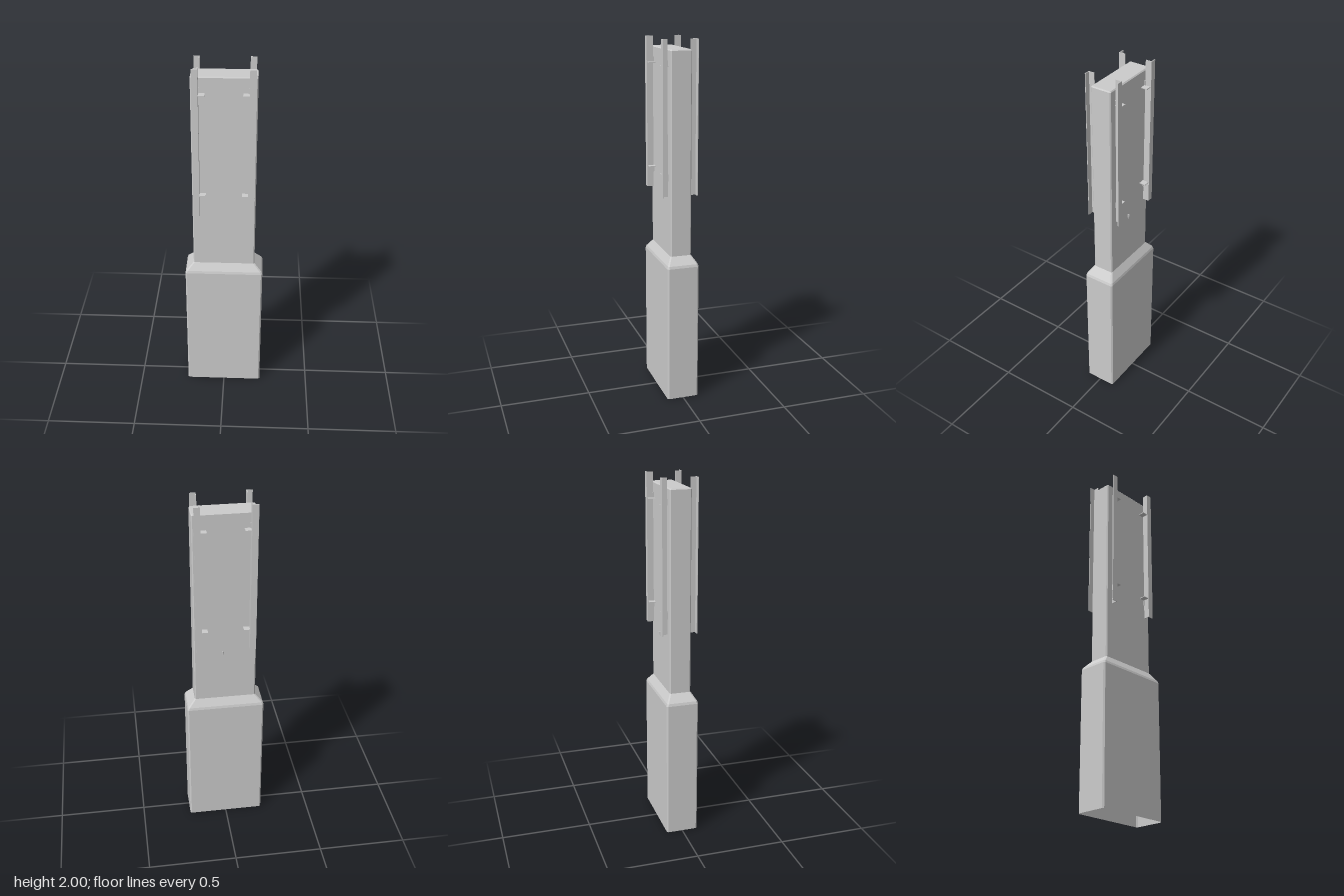
import * as THREE from 'three';

const mat = new THREE.MeshStandardMaterial({ color: 0xcccccc, flatShading: true, side: THREE.DoubleSide });

// Chamfered rectangle cross-section, counter-clockwise seen from +z towards +x
function ring([y, hx, hz, c]) {
  return [
    [hx, hz - c], [hx, c - hz], [hx - c, -hz], [c - hx, -hz],
    [-hx, c - hz], [-hx, hz - c], [c - hx, hz], [hx - c, hz],
  ].map(([x, z]) => [x, y, z]);
}

// Skin through the sections, open at the bottom and capped at the top
function loft(sections) {
  const rings = sections.map(ring);
  const n = rings[0].length;
  const index = [];
  for (let r = 0; r < rings.length - 1; r++) {
    for (let i = 0; i < n; i++) {
      const a = r * n + i, b = r * n + (i + 1) % n;
      index.push(a, b, b + n, a, b + n, a + n);
    }
  }
  const top = (rings.length - 1) * n;
  for (let i = 1; i < n - 1; i++) index.push(top, top + i, top + i + 1);
  const geo = new THREE.BufferGeometry();
  geo.setAttribute('position', new THREE.Float32BufferAttribute(rings.flat(2), 3));
  geo.setIndex(index);
  const flat = geo.toNonIndexed();
  flat.computeVertexNormals();
  return flat;
}

// Box given by its limits on each axis
function slab(name, [x0, x1], [y0, y1], [z0, z1]) {
  const mesh = new THREE.Mesh(new THREE.BoxGeometry(Math.abs(x1 - x0), y1 - y0, Math.abs(z1 - z0)), mat);
  mesh.position.set((x0 + x1) / 2, (y0 + y1) / 2, (z0 + z1) / 2);
  mesh.name = name;
  return mesh;
}

// Angle-section rail with two tabs joining it to the wall
function rail(sx, sz) {
  const g = new THREE.Group();
  g.name = (sz > 0 ? 'front' : 'back') + (sx > 0 ? 'Left' : 'Right') + 'Rail';
  const X = (a, b) => [sx * a, sx * b];
  const Z = (a, b) => [sz * a, sz * b];
  g.add(slab('flange', X(0.13, 0.163), [1.165, 2], Z(0.094, 0.098)));
  g.add(slab('web', X(0.13, 0.134), [1.165, 2], Z(0.063, 0.098)));
  for (const [y, f0, f1] of [[1.285, 1.25, 1.285], [1.86, 1.86, 1.89]]) {
    g.add(slab('tab', X(0.097, 0.132), [y - 0.002, y + 0.002], Z(0.056, 0.095)));
    g.add(slab('tabFoot', X(0.127, 0.131), [f0, f1], Z(0.057, 0.066)));
  }
  return g;
}

export function createModel() {
  const model = new THREE.Group();

  // Hollow sleeve with a wide base, sloped shoulder and narrow shaft
  const body = new THREE.Mesh(loft([
    [0, 0.218, 0.09, 0.008],
    [0.778, 0.218, 0.09, 0.008],
    [0.792, 0.213, 0.086, 0.008],
    [0.835, 0.172, 0.059, 0.006],
    [1.942, 0.172, 0.059, 0.006],
    [1.948, 0.167, 0.054, 0.004],
  ]), mat);
  body.name = 'body';
  model.add(body);

  // Four rails on the broad faces
  for (const sx of [-1, 1]) for (const sz of [-1, 1]) model.add(rail(sx, sz));

  // Small pointed catch on the back, tapering downwards
  const catchGeo = new THREE.ConeGeometry(0.01, 0.03, 3);
  const latch = new THREE.Mesh(catchGeo, mat);
  latch.rotation.set(Math.PI, 0, 0);
  latch.position.set(0.013, 1.125, -0.06);
  latch.name = 'catch';
  model.add(latch);

  return model;
}
